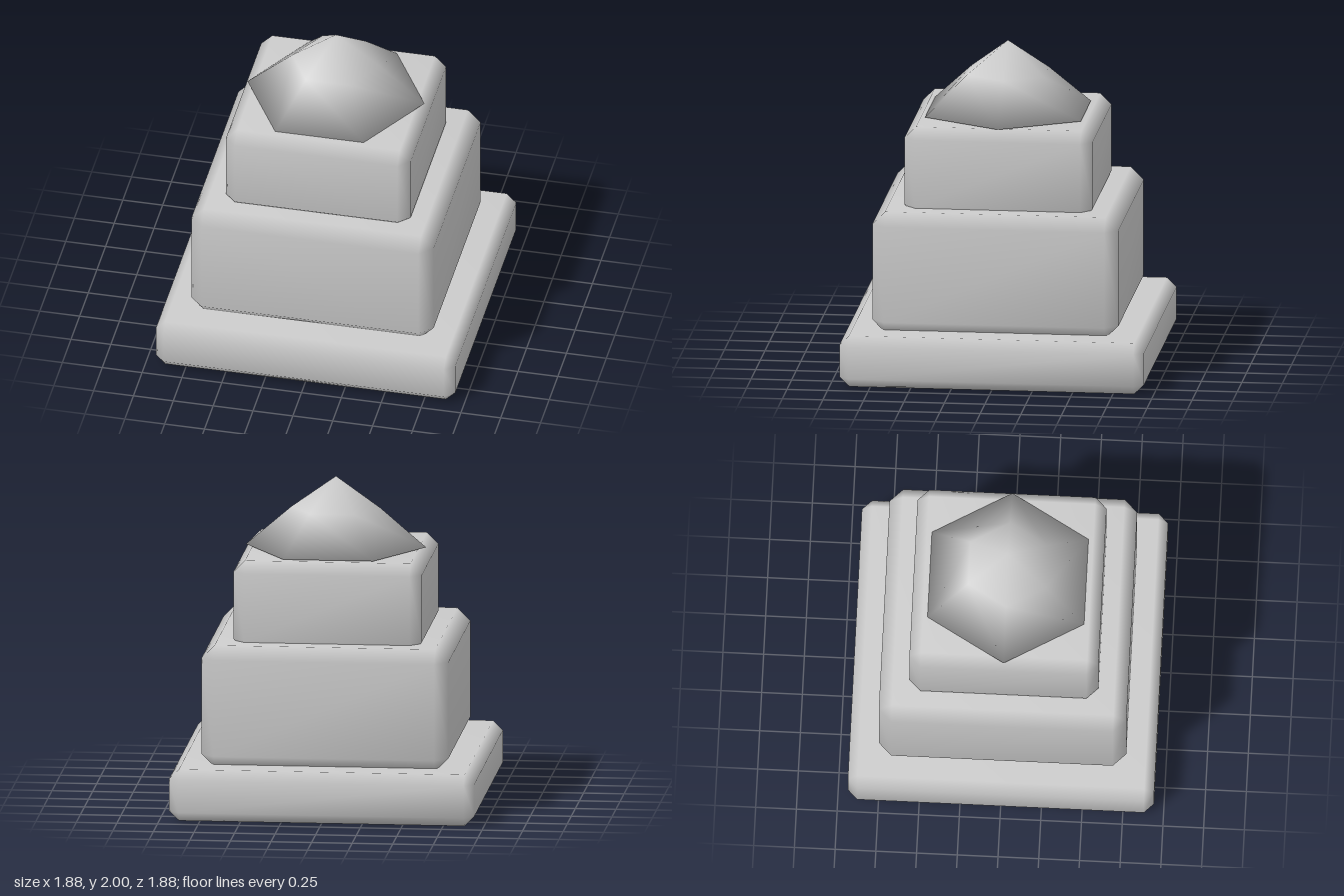
import * as THREE from 'three';
import { mergeVertices } from 'three/addons/utils/BufferGeometryUtils.js';
import { ConvexGeometry } from 'three/addons/geometries/ConvexGeometry.js';

// Share the corners so that shading runs smoothly over all edges
function smooth(geometry) {
  geometry.deleteAttribute('normal');
  geometry.deleteAttribute('uv');
  const merged = mergeVertices(geometry, 1e-4);
  merged.computeVertexNormals();
  return merged;
}

// Square block with every edge and corner chamfered by c
function chamferedBlock(half, y0, y1, c) {
  const hy = (y1 - y0) / 2;
  const points = [];
  for (const sx of [-1, 1]) for (const sy of [-1, 1]) for (const sz of [-1, 1]) {
    points.push(
      new THREE.Vector3(sx * half, sy * (hy - c), sz * (half - c)),
      new THREE.Vector3(sx * (half - c), sy * hy, sz * (half - c)),
      new THREE.Vector3(sx * (half - c), sy * (hy - c), sz * half)
    );
  }
  return smooth(new ConvexGeometry(points)).translate(0, (y0 + y1) / 2, 0);
}

export function createModel() {
  const model = new THREE.Group();
  model.name = 'steppedMonument';
  const stone = new THREE.MeshStandardMaterial({ color: 0xcccccc });
  stone.name = 'grey stone';

  const add = (name, geometry) => {
    const mesh = new THREE.Mesh(geometry, stone);
    mesh.name = name;
    model.add(mesh);
  };

  // Three stacked tiers, each set slightly into the one below
  add('baseTier', chamferedBlock(0.94, 0, 0.32, 0.06));
  add('middleTier', chamferedBlock(0.76, 0.3, 1.06, 0.08));
  add('upperTier', chamferedBlock(0.58, 1.0, 1.56, 0.07));

  // Six-sided roof with a slight bulge, corners pointing to the sides
  const profile = [[0, 1.565], [0.555, 1.565], [0.275, 1.805], [0, 2]]
    .map(([r, y]) => new THREE.Vector2(r, y));
  add('roof', smooth(new THREE.LatheGeometry(profile, 6, Math.PI / 2)));

  return model;
}
